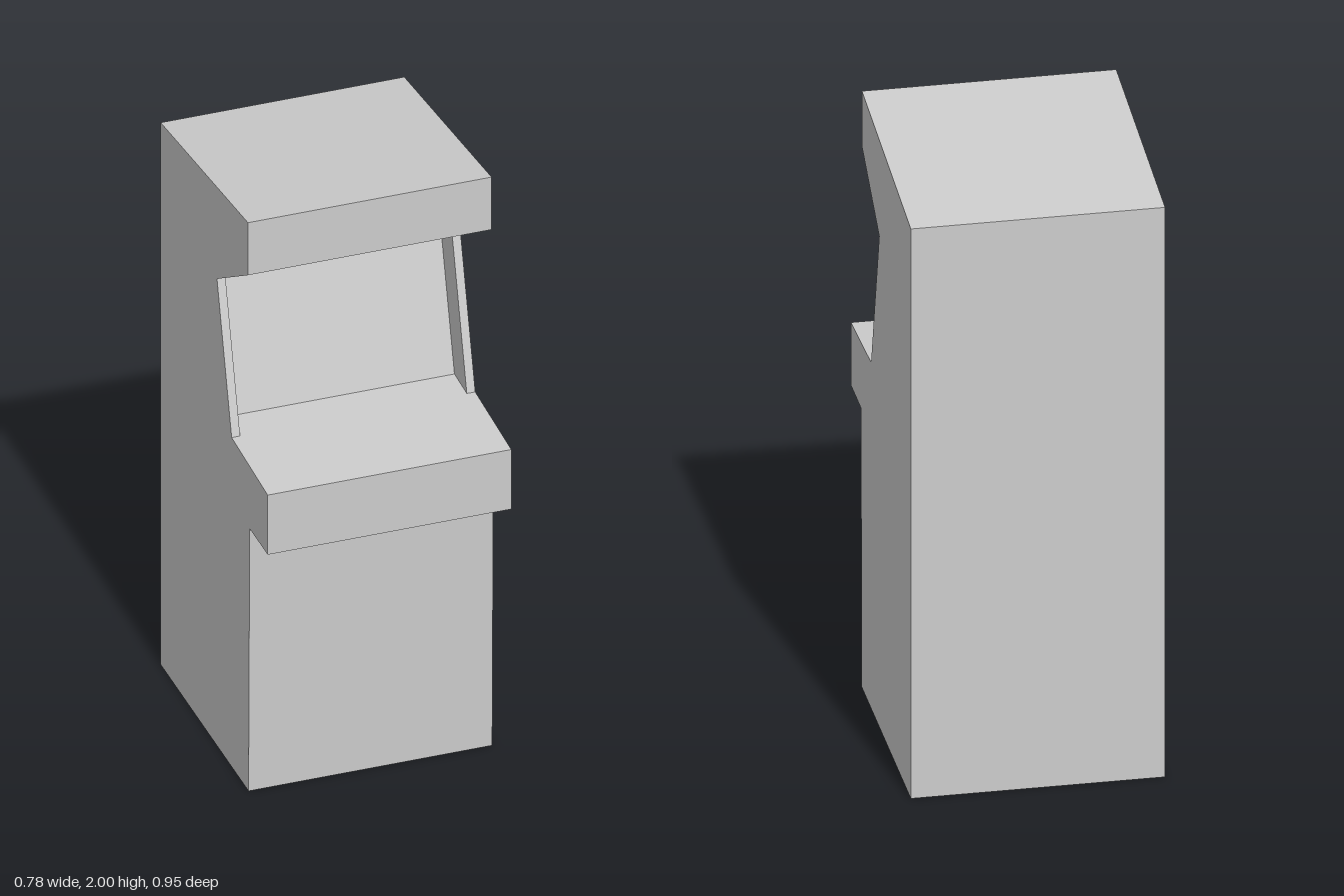
import * as THREE from 'three';

const HALF_WIDTH = 0.39;
const PANEL = 0.027;
const material = new THREE.MeshStandardMaterial({ color: 0xcccccc, flatShading: true });

// Extrudes a side profile of [z, y] points across x from x0 to x1
function profilePart(name, points, x0, x1) {
  const shape = new THREE.Shape(points.map(([z, y]) => new THREE.Vector2(-z, y)));
  const geometry = new THREE.ExtrudeGeometry(shape, { depth: x1 - x0, bevelEnabled: false });
  geometry.rotateY(Math.PI / 2);
  geometry.translate(x0, 0, 0);
  const mesh = new THREE.Mesh(geometry, material);
  mesh.name = name;
  return mesh;
}

export function createModel() {
  const group = new THREE.Group();
  group.name = 'arcadeCabinet';

  // Outline shared by the side panels and the body
  const lower = [[-0.475, 0], [0.305, 0], [0.315, 0.93], [0.475, 0.93], [0.475, 1.14], [0.155, 1.16]];
  const upper = [[0.025, 1.645], [0.3, 1.815], [0.3, 2], [-0.475, 1.91]];
  // Screen set back between the side panels
  const recess = [[0.045, 1.166], [-0.085, 1.647]];

  const inner = HALF_WIDTH - PANEL;
  group.add(
    profilePart('rightSidePanel', [...lower, ...upper], -HALF_WIDTH, -inner),
    profilePart('bodyWithScreenRecess', [...lower, ...recess, ...upper], -inner, inner),
    profilePart('leftSidePanel', [...lower, ...upper], inner, HALF_WIDTH),
  );
  return group;
}
